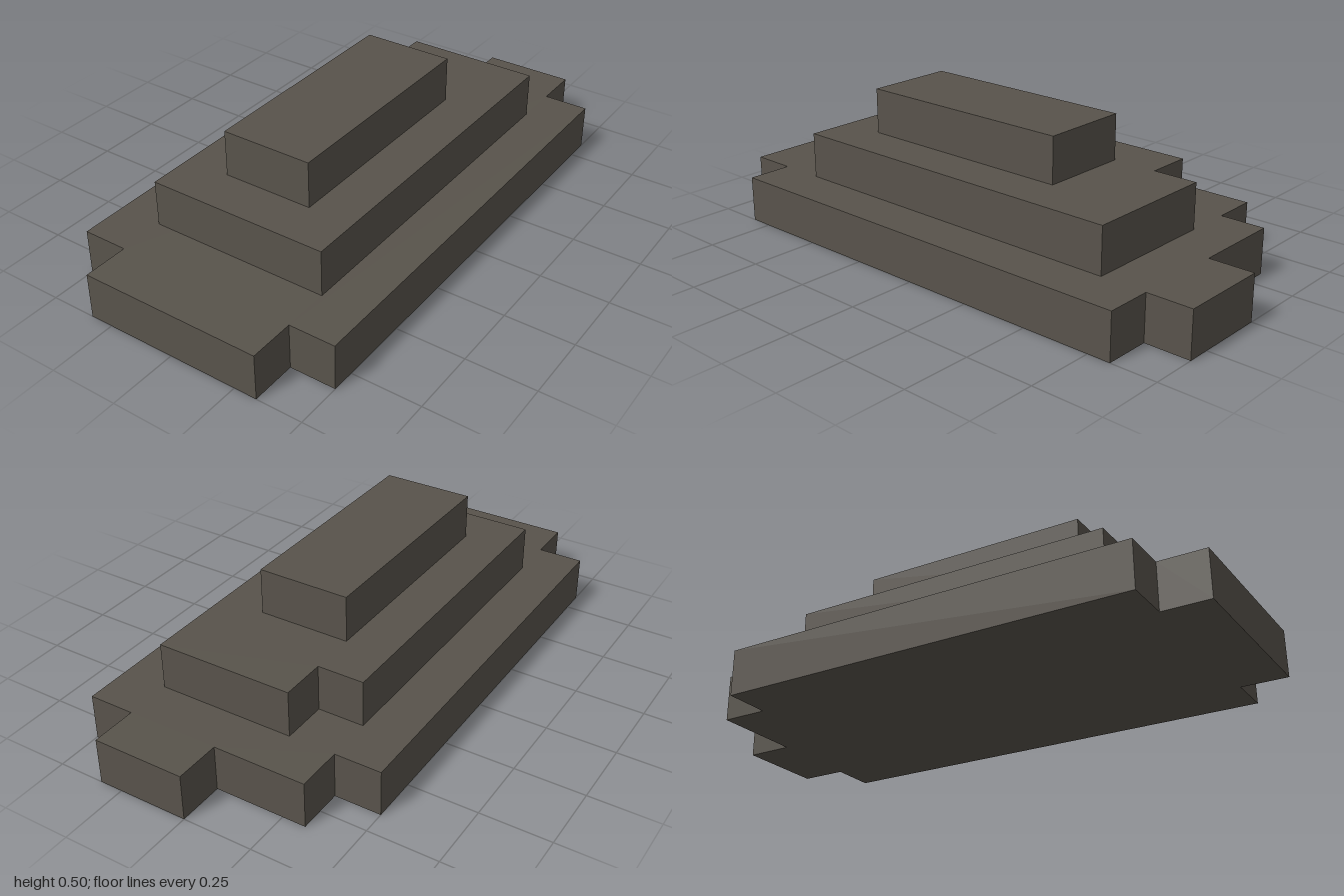
import * as THREE from 'three';

const U = 1 / 6; // block size

// Slab with a stepped outline given as [x, z] corners in block units
function slab(name, corners, level, material) {
  const shape = new THREE.Shape(corners.map(([x, z]) => new THREE.Vector2(x * U, -z * U)));
  const geometry = new THREE.ExtrudeGeometry(shape, { depth: U, bevelEnabled: false });
  geometry.rotateX(-Math.PI / 2);
  const mesh = new THREE.Mesh(geometry, material);
  mesh.name = name;
  mesh.position.y = level * U;
  return mesh;
}

export function createModel() {
  const stone = new THREE.MeshStandardMaterial({ color: 0x58534b });
  stone.name = 'dark stone';

  const group = new THREE.Group();
  group.name = 'steppedRock';

  // Three stacked layers, from the ground up
  const layers = [
    ['baseLayer', [
      [-3, -4], [-2, -4], [-2, -5], [0, -5], [0, -6], [2, -6], [2, -5], [3, -5],
      [3, 5], [2, 5], [2, 6], [-2, 6], [-2, 5], [-3, 5],
    ]],
    ['middleLayer', [[-2, -3], [-1, -3], [-1, -4], [2, -4], [2, 4], [-2, 4]]],
    ['topLayer', [[-1, -2], [1, -2], [1, 3], [-1, 3]]],
  ];
  layers.forEach(([name, corners], level) => group.add(slab(name, corners, level, stone)));

  return group;
}
